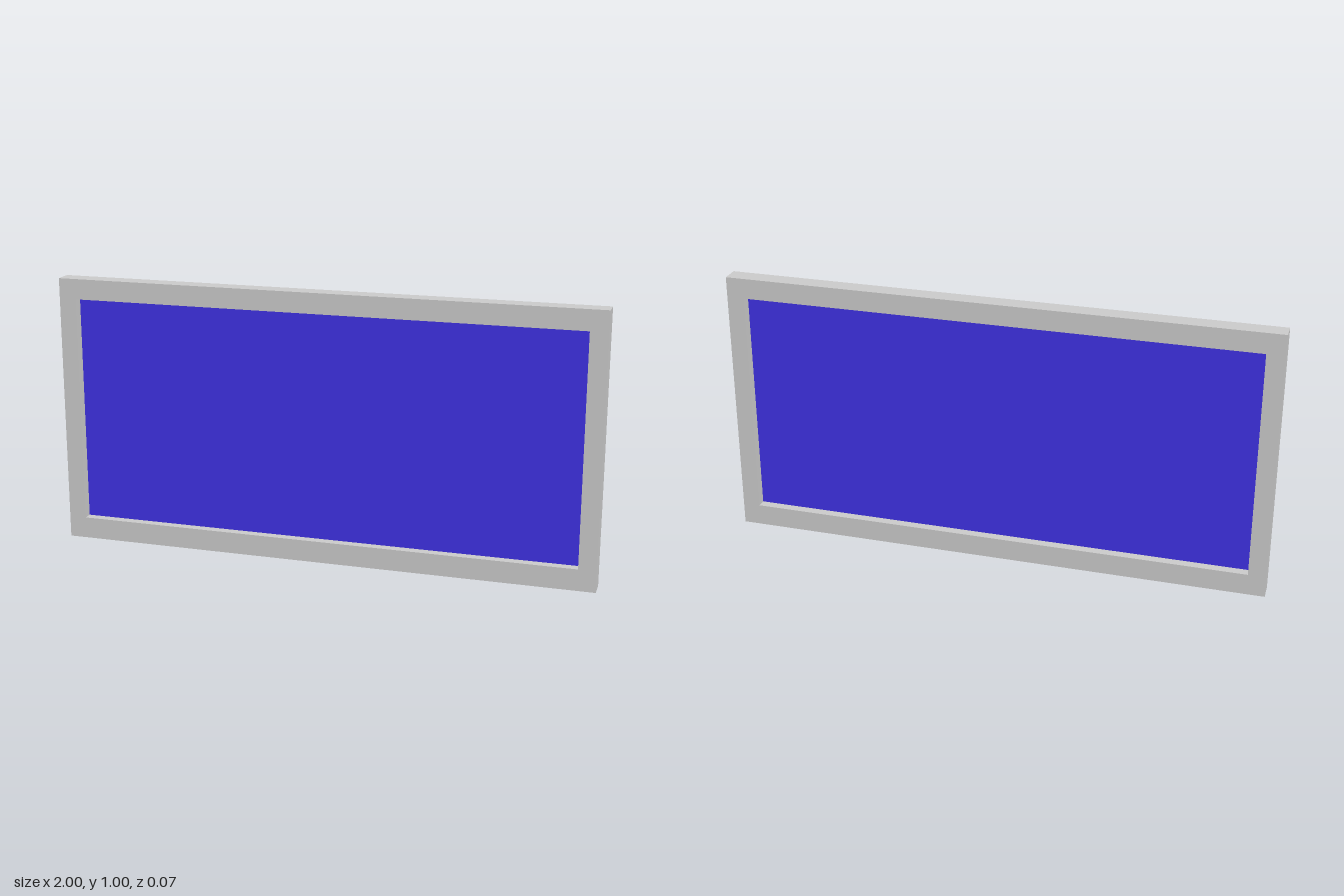
import * as THREE from 'three';

const DEPTH = 0.067;
const HOLE = { x: 0.935, bottom: 0.08, top: 0.925 };

// Closed rectangular outline, symmetric in x
function rectangle(PathType, halfWidth, bottom, top) {
  return new PathType([
    new THREE.Vector2(-halfWidth, bottom),
    new THREE.Vector2(halfWidth, bottom),
    new THREE.Vector2(halfWidth, top),
    new THREE.Vector2(-halfWidth, top),
  ]);
}

export function createModel() {
  const group = new THREE.Group();
  group.name = 'framedPanel';

  // Rectangular border, open front and back
  const outline = rectangle(THREE.Shape, 1, 0, 1);
  outline.holes.push(rectangle(THREE.Path, HOLE.x, HOLE.bottom, HOLE.top));
  const frameGeometry = new THREE.ExtrudeGeometry(outline, { depth: DEPTH, bevelEnabled: false });
  frameGeometry.translate(0, 0, -DEPTH / 2);
  const frame = new THREE.Mesh(frameGeometry, new THREE.MeshStandardMaterial({ color: 0xcccccc }));
  frame.name = 'frame';

  // Thin blue sheet recessed halfway through the frame
  const panel = new THREE.Mesh(
    new THREE.PlaneGeometry(HOLE.x * 2, HOLE.top - HOLE.bottom),
    new THREE.MeshStandardMaterial({ color: 0x3f31e5, side: THREE.DoubleSide })
  );
  panel.position.y = (HOLE.top + HOLE.bottom) / 2;
  panel.name = 'panel';

  group.add(frame, panel);
  return group;
}
